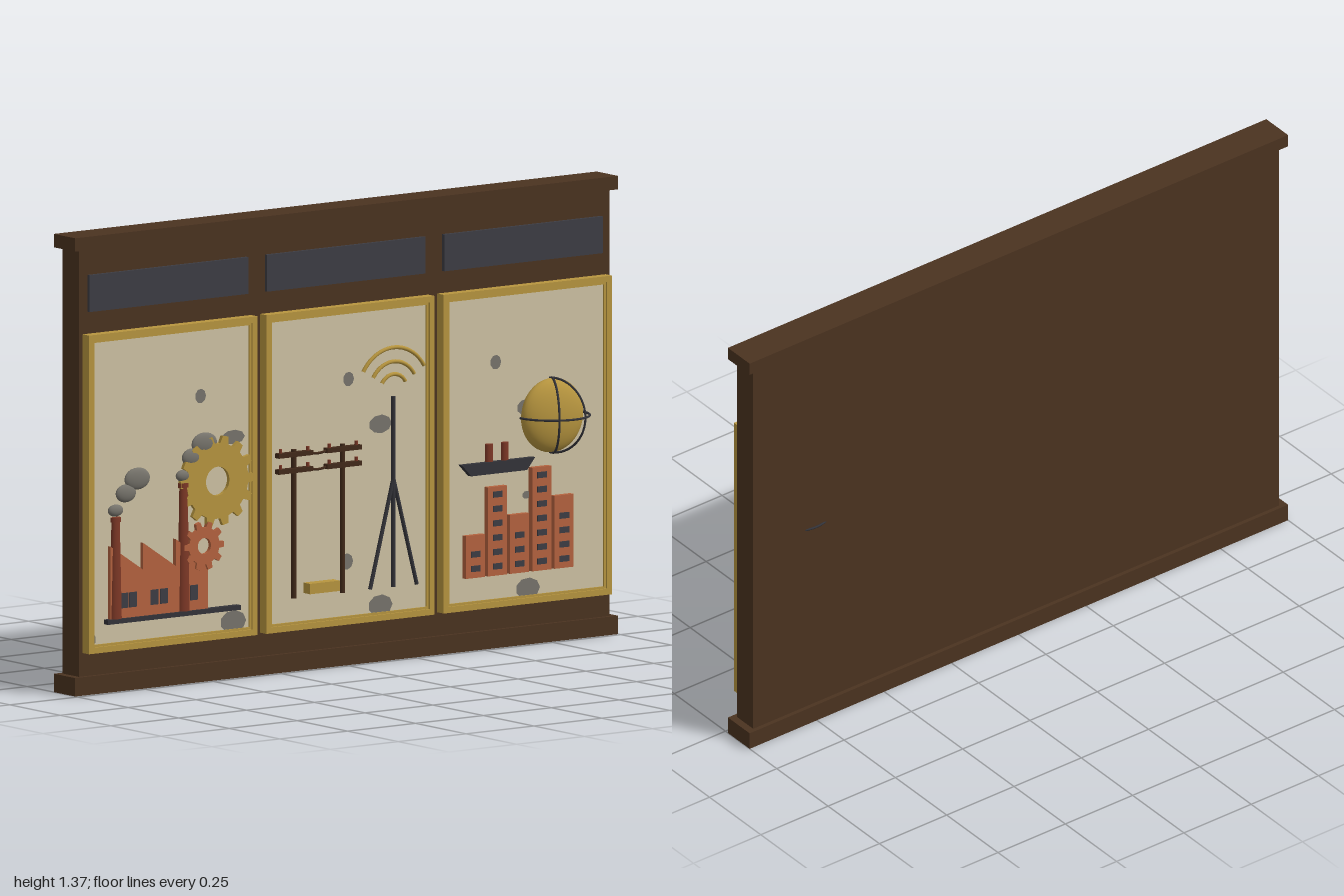
import * as THREE from 'three';

const mat = (name, color) => new THREE.MeshStandardMaterial({ name, color });

export function createModel() {
  const wood = mat('wood', 0x4b3320), gold = mat('gold', 0xb8963f), cream = mat('cream', 0xcfc3a4);
  const brick = mat('brick', 0xb5633f), red = mat('darkRed', 0x7d3826), iron = mat('iron', 0x34343a);
  const slate = mat('slate', 0x3d3d44), grey = mat('grey', 0x77746c), pole = mat('poleWood', 0x422a1a);
  const model = new THREE.Group();
  model.name = 'muralWall';
  const FACE = -0.004; // front surface of the cream panels

  const add = (name, geo, material, x = 0, y = 0, z = 0, parent = model) => {
    const m = new THREE.Mesh(geo, material);
    m.name = name;
    m.position.set(x, y, z);
    parent.add(m);
    return m;
  };
  // Box given by its limits
  const box = (name, material, x0, x1, y0, y1, z0, z1) =>
    add(name, new THREE.BoxGeometry(x1 - x0, y1 - y0, z1 - z0), material,
      (x0 + x1) / 2, (y0 + y1) / 2, (z0 + z1) / 2);
  const shapeOf = pts => new THREE.Shape(pts.map(p => new THREE.Vector2(...p)));
  const plate = (name, shape, material, x, y, z, depth) =>
    add(name, new THREE.ExtrudeGeometry(shape, { depth, bevelEnabled: false, curveSegments: 20 }), material, x, y, z);
  const rect = (w, h) => [[-w / 2, -h / 2], [w / 2, -h / 2], [w / 2, h / 2], [-w / 2, h / 2]];
  const frame = (name, w, h, bar, x, y, z0, z1) => {
    const s = shapeOf(rect(w, h));
    s.holes.push(new THREE.Path(rect(w - 2 * bar, h - 2 * bar).map(p => new THREE.Vector2(...p))));
    plate(name, s, gold, x, y, z0, z1 - z0);
  };

  // Wall with base and cornice
  box('wall', wood, -0.977, 0.977, 0.03, 1.35, -0.105, -0.025);
  box('base', wood, -1, 1, 0, 0.055, -0.118, -0.012);
  box('cornice', wood, -1, 1, 1.33, 1.37, -0.118, -0.012);

  // Three framed panels with header plaques
  for (const x of [-0.653, 0, 0.653]) {
    box('panel', cream, x - 0.3, x + 0.3, 0.135, 1.068, -0.025, FACE);
    frame('outerFrame', 0.62, 0.953, 0.018, x, 0.6015, -0.025, 0.007);
    frame('innerFrame', 0.586, 0.919, 0.008, x, 0.6015, -0.01, 0.001);
    box('headerPlaque', slate, x - 0.292, x + 0.292, 1.144, 1.254, -0.026, -0.014);
  }

  // Worn patches: x, y, half width, half height
  for (const [x, y, rx, ry] of [
    [-0.545, 0.857, 0.02, 0.022], [-0.425, 0.723, 0.043, 0.022], [-0.425, 0.172, 0.048, 0.034],
    [-0.942, 0.712, 0.006, 0.01], [-0.938, 0.165, 0.007, 0.015],
    [0, 0.857, 0.02, 0.022], [0.117, 0.712, 0.042, 0.028], [0.117, 0.17, 0.045, 0.032], [-0.008, 0.312, 0.025, 0.025],
    [0.542, 0.857, 0.02, 0.022], [0.655, 0.712, 0.035, 0.025], [0.66, 0.17, 0.045, 0.032], [0.655, 0.45, 0.015, 0.012],
  ]) add('wornPatch', new THREE.CircleGeometry(1, 9), grey, x, y, FACE + 0.001).scale.set(rx, ry, 1);

  // Factory with saw-tooth roof
  box('factoryGround', iron, -0.9, -0.41, 0.208, 0.222, FACE, 0.016);
  plate('factoryBody', shapeOf([[-0.885, 0.222], [-0.527, 0.222], [-0.527, 0.36], [-0.645, 0.44], [-0.645, 0.36],
    [-0.765, 0.44], [-0.765, 0.36], [-0.885, 0.44]]), brick, 0, 0, FACE, 0.013);
  for (const x of [-0.835, -0.803, -0.725, -0.689, -0.612, -0.578])
    box('factoryWindow', slate, x - 0.014, x + 0.014, 0.252, 0.297, 0.008, 0.011);
  const chimney = (x, top, puffs) => {
    add('chimney', new THREE.CylinderGeometry(0.014, 0.021, top - 0.222, 14), red, x, (top + 0.222) / 2, 0.004).scale.z = 0.65;
    add('chimneyRim', new THREE.CylinderGeometry(0.018, 0.018, 0.014, 14), red, x, top - 0.007, 0.004).scale.z = 0.65;
    for (const [px, py, rx, ry] of puffs)
      add('smokePuff', new THREE.SphereGeometry(1, 16, 12), grey, px, py, 0.002).scale.set(rx, ry, 0.012);
  };
  chimney(-0.863, 0.525, [[-0.862, 0.545, 0.027, 0.018], [-0.824, 0.593, 0.037, 0.027], [-0.782, 0.633, 0.047, 0.033]]);
  chimney(-0.613, 0.605, [[-0.612, 0.626, 0.027, 0.018], [-0.58, 0.678, 0.037, 0.027], [-0.535, 0.715, 0.047, 0.033]]);

  // Gears
  const gear = (material, x, y, teeth, root, tip, hole, z) => {
    const pts = [];
    for (let i = 0; i < teeth; i++)
      for (const [k, r] of [[-0.3, root], [-0.18, tip], [0.18, tip], [0.3, root]]) {
        const a = (i + k) / teeth * Math.PI * 2;
        pts.push([r * Math.cos(a), r * Math.sin(a)]);
      }
    const s = shapeOf(pts);
    s.holes.push(new THREE.Path().absarc(0, 0, hole, 0, Math.PI * 2, true));
    plate('gear', s, material, x, y, z, 0.012);
  };
  gear(gold, -0.493, 0.6, 14, 0.113, 0.135, 0.043, 0);
  gear(brick, -0.545, 0.411, 10, 0.056, 0.073, 0.024, 0.004);

  // Telegraph poles with cross arms, insulators and wires
  for (const x of [-0.207, -0.028]) {
    add('telegraphPole', new THREE.CylinderGeometry(0.008, 0.008, 0.445, 10), pole, x, 0.4445, 0.004);
    for (const y of [0.605, 0.653]) {
      box('crossArm', pole, x - 0.063, x + 0.063, y - 0.007, y + 0.007, FACE, 0.016);
      for (const dx of [-0.05, 0.05])
        add('insulator', new THREE.CylinderGeometry(0.005, 0.005, 0.014, 8), red, x + dx, y + 0.012, 0.006);
    }
  }
  for (const y of [0.605, 0.653]) {
    const sag = new THREE.QuadraticBezierCurve3(new THREE.Vector3(-0.157, y + 0.004, 0.006),
      new THREE.Vector3(-0.118, y - 0.014, 0.006), new THREE.Vector3(-0.078, y + 0.004, 0.006));
    add('wire', new THREE.TubeGeometry(sag, 10, 0.004, 6), pole);
  }
  box('goldCrate', gold, -0.166, -0.056, 0.233, 0.264, FACE, 0.03);

  // Radio mast, stays and signal arcs
  add('mast', new THREE.CylinderGeometry(0.007, 0.007, 0.57, 10), iron, 0.16, 0.507, 0.004);
  for (const s of [-1, 1]) {
    const leg = add('mastLeg', new THREE.CylinderGeometry(0.006, 0.006, Math.hypot(0.086, 0.325), 8), iron,
      0.16 + s * 0.043, 0.3845, 0.004);
    leg.rotation.z = s * Math.atan2(0.086, 0.325);
  }
  for (const r of [0.05, 0.088, 0.13]) {
    const arc = add('signalArc', new THREE.TorusGeometry(r, 0.006, 8, 24, Math.PI * 0.66), gold, 0.16, 0.808, 0.005);
    arc.rotation.z = Math.PI * 0.17;
  }

  // City blocks with stacked windows
  for (const [x, top] of [[0.455, 0.35], [0.536, 0.488], [0.617, 0.398], [0.699, 0.532], [0.781, 0.44]]) {
    box('cityBlock', brick, x - 0.035, x + 0.035, 0.222, top, FACE, 0.014);
    for (let y = 0.25; y < top - 0.02; y += 0.043)
      box('cityWindow', slate, x - 0.017, x + 0.017, y - 0.009, y + 0.009, 0.013, 0.017);
  }

  // Steamship
  plate('shipHull', shapeOf([[0.44, 0.527], [0.645, 0.527], [0.675, 0.563], [0.405, 0.563]]), iron, 0, 0, FACE, 0.018);
  for (const x of [0.512, 0.57])
    add('shipFunnel', new THREE.CylinderGeometry(0.013, 0.013, 0.055, 12), red, x, 0.589, 0.004).scale.z = 0.65;

  // Globe dome with free-standing rings
  const globe = new THREE.Group();
  globe.name = 'globe';
  globe.position.set(0.745, 0.681, 0.003);
  model.add(globe);
  add('globeDome', new THREE.SphereGeometry(0.111, 32, 24), gold, 0, 0, 0, globe).scale.z = 0.37;
  const ring = () => new THREE.TorusGeometry(0.112, 0.0035, 6, 48);
  add('equatorRing', ring(), iron, 0, 0, 0, globe).rotation.x = Math.PI / 2;
  for (const s of [-1, 1])
    add('meridianRing', ring(), iron, 0, 0, 0, globe).rotation.y = Math.PI / 2 + s * 0.44;

  return model;
}
